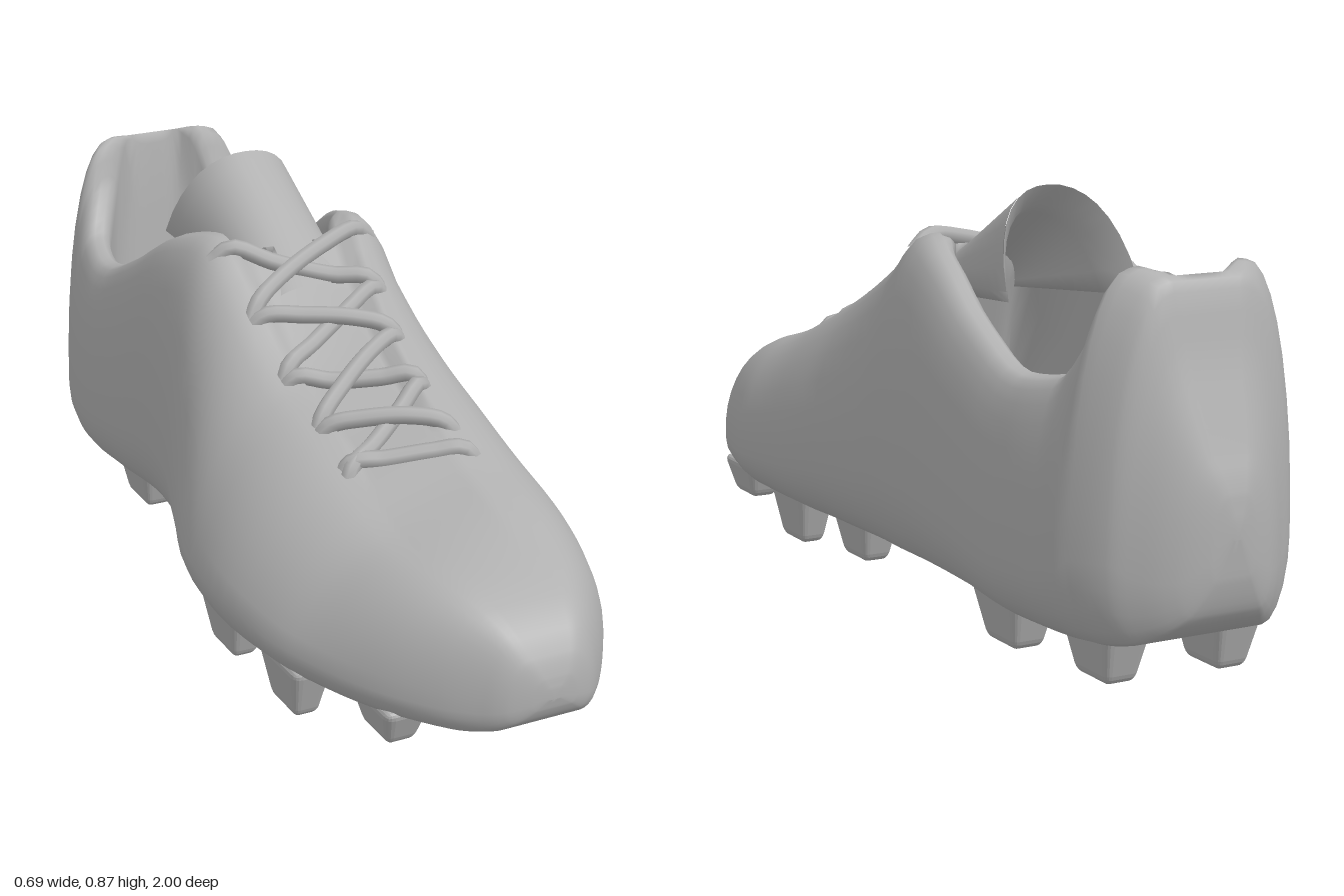
import * as THREE from 'three';
import { RoundedBoxGeometry } from 'three/addons/geometries/RoundedBoxGeometry.js';

// Stations from toe to heel: z, +x edge, -x edge, sole y, top y, half width of throat or collar
const STATIONS = [
  [1.0, 0.06, 0.03, 0.19, 0.21, 0.008],
  [0.995, 0.1, -0.005, 0.168, 0.235, 0.025],
  [0.98, 0.138, -0.05, 0.143, 0.272, 0.045],
  [0.95, 0.17, -0.09, 0.122, 0.312, 0.06],
  [0.9, 0.212, -0.145, 0.112, 0.345, 0.075],
  [0.8, 0.275, -0.225, 0.108, 0.385, 0.1],
  [0.68, 0.313, -0.285, 0.105, 0.425, 0.115],
  [0.55, 0.338, -0.325, 0.1, 0.46, 0.11],
  [0.35, 0.338, -0.348, 0.095, 0.54, 0.105],
  [0.2, 0.328, -0.338, 0.095, 0.605, 0.115],
  [0.0, 0.325, -0.28, 0.1, 0.695, 0.14],
  [-0.12, 0.335, -0.25, 0.105, 0.755, 0.16],
  [-0.25, 0.341, -0.24, 0.11, 0.72, 0.195],
  [-0.42, 0.34, -0.25, 0.105, 0.62, 0.215],
  [-0.6, 0.336, -0.245, 0.09, 0.55, 0.22],
  [-0.72, 0.325, -0.225, 0.09, 0.565, 0.2],
  [-0.79, 0.313, -0.2, 0.09, 0.66, 0.16],
  [-0.825, 0.3, -0.18, 0.09, 0.77, 0.125],
  [-0.89, 0.265, -0.13, 0.1, 0.75, 0.08],
  [-0.925, 0.228, -0.09, 0.115, 0.61, 0.06],
  [-0.97, 0.17, -0.04, 0.155, 0.46, 0.04],
  [-0.993, 0.115, 0.01, 0.22, 0.385, 0.02],
  [-1.0, 0.07, 0.05, 0.3, 0.33, 0.005],
];
const { clamp, lerp, smoothstep } = THREE.MathUtils;

// Smooth interpolation of one station column without overshoot
function column(z, c) {
  const S = STATIONS, last = S.length - 1;
  let i = 0;
  while (i < last - 1 && z < S[i + 1][0]) i++;
  const secant = k => (S[k + 1][c] - S[k][c]) / (S[k + 1][0] - S[k][0]);
  const slope = k => {
    if (k === 0) return secant(0);
    if (k === last) return secant(last - 1);
    const a = secant(k - 1), b = secant(k);
    return a * b <= 0 ? 0 : (2 * a * b) / (a + b);
  };
  const h = S[i + 1][0] - S[i][0], t = (z - S[i][0]) / h, t2 = t * t, t3 = t2 * t;
  return (2 * t3 - 3 * t2 + 1) * S[i][c] + (t3 - 2 * t2 + t) * h * slope(i)
    + (3 * t2 - 2 * t3) * S[i + 1][c] + (t3 - t2) * h * slope(i + 1);
}

function sample(z) {
  const [xr, xl, yb, yt, rw] = [1, 2, 3, 4, 5].map(c => column(z, c));
  const cx = (xr + xl) / 2;
  return { cx, w: (xr - xl) / 2, yb, yt, rw, rc: cx * 0.5 + 0.025 };
}

// The forefoot drops from a ridge over the big toe towards the outer side
const forefoot = z => smoothstep(z, -0.05, 0.25) * (1 - smoothstep(z, 0.6, 0.9));
const tilt = (x, z) => 0.3 * forefoot(z) * Math.max(0, 0.1 - x);

// Skin closed rings, ordered from front to back and anticlockwise seen from the front
function loft(rings, capped) {
  const n = rings[0].length, pos = rings.flat(2), idx = [];
  for (let i = 0; i < rings.length - 1; i++) {
    for (let j = 0; j < n; j++) {
      const a = i * n + j, b = i * n + (j + 1) % n;
      idx.push(a, a + n, b, b, a + n, b + n);
    }
  }
  if (capped) {
    const end = (rings.length - 1) * n;
    for (let j = 1; j < n - 1; j++) {
      idx.push(0, j, j + 1);
      idx.push(end, end + j + 1, end + j);
    }
  }
  const g = new THREE.BufferGeometry();
  g.setAttribute('position', new THREE.Float32BufferAttribute(pos, 3));
  g.setIndex(idx);
  g.computeVertexNormals();
  return g;
}

// One cross-section: sole, side wall, rim, then lining (open) or throat (closed)
function bootRing(z) {
  const { cx, w, yb, yt, rw, rc } = sample(z);
  const ym = yb + (yt - yb) * 0.24;
  const open = clamp((-0.1 - z) / 0.1, 0, 1) * clamp((z + 0.86) / 0.05, 0, 1);
  const sunk = z > -0.15 ? (smoothstep(z, 0.35, 0.48) - 1) * 0.022 : 0;
  // The lining reaches forward under the throat
  const reach = 0.32 * open * smoothstep(z, -0.55, -0.2);
  const floor = 0.2, inner = Math.max(rw - 0.04, 0.005);
  const lining = [
    [rw - 0.02, yt + 0.004], [rw - 0.034, yt - 0.008], [inner, yt - 0.035],
    [inner + 0.01, lerp(yt, floor, 0.4)], [inner + 0.015, lerp(yt, floor, 0.75)],
    [inner, floor + 0.03], [inner * 0.7, floor], [0, floor],
  ];
  const side = s => {
    const half = [[0, yb, 0, 0], [0.4 * w, yb, 0, 0]];
    for (let k = 0; k <= 5; k++) {
      const a = k / 5 * Math.PI / 2;
      half.push([w * (0.72 + 0.28 * Math.sin(a)), ym - (ym - yb) * Math.cos(a), 0, 0]);
    }
    const slant = s < 0 ? 0.25 * forefoot(z) : 0;
    for (let k = 1; k <= 9; k++) {
      const a = k / 9 * Math.PI / 2;
      const f = lerp(Math.cos(a), 1 - Math.sin(a), slant);
      half.push([rw + (w - rw) * f, ym + (yt - ym) * Math.sin(a), k / 9, 0]);
    }
    lining.forEach(([x, y], k) => {
      const f = (k + 1) / lining.length;
      const forward = reach * clamp((k - 2) / 2, 0, 1);
      half.push([lerp(rw * (1 - f), x, open), lerp(yt + (f > 0.2 ? sunk : 0), y, open), 1, forward]);
    });
    return half.map(([x, y, t, forward]) => {
      const px = lerp(cx, rc, t) + s * x;
      return [px, y - t * tilt(px, z), z + forward];
    });
  };
  return [...side(1), ...side(-1).slice(1, -1).reverse()];
}

function bootGeometry() {
  const rings = [];
  for (let i = 0; i < STATIONS.length - 1; i++) {
    for (let k = 0; k < 4; k++) {
      rings.push(bootRing(lerp(STATIONS[i][0], STATIONS[i + 1][0], k / 4)));
    }
  }
  rings.push(bootRing(-1));
  return loft(rings, true);
}

// Arched tongue whose sides sweep back and down, open underneath
function tongueGeometry() {
  const rings = [], N = 16;
  for (let i = 0; i <= 10; i++) {
    const t = i / 10, thick = i === 10 ? 0.001 : 0.025;
    const hw = lerp(0.1, 0.15, t), drop = lerp(0.03, 0.19, t);
    const arc = inset => Array.from({ length: N + 1 }, (_, j) => {
      const a = 1 - 2 * j / N;
      return [
        0.05 + (hw - inset) * Math.sin(a * 1.4) / Math.sin(1.4),
        lerp(0.67, 0.865, t) - inset - drop * Math.abs(a) ** 2.2,
        lerp(0.02, -0.32, t) - 0.1 * t * a * a,
      ];
    });
    rings.push([...arc(0), ...arc(thick).reverse()]);
  }
  return loft(rings, false);
}

// Lace strand over the throat between two points on opposite sides
function laceGeometry(z0, z1, side, lift) {
  const pts = [-1.2, -0.95, -0.4, 0.4, 0.95, 1.2].map(f => {
    const z = lerp(z0, z1, (f + 1.2) / 2.4);
    const { yt, rw, rc } = sample(z);
    const x = rc + side * f * rw;
    const up = Math.abs(f) > 1 ? -0.035 : Math.abs(f) > 0.5 ? 0.003 : lift;
    return new THREE.Vector3(x, yt + up - tilt(x, z), z);
  });
  return new THREE.TubeGeometry(new THREE.CatmullRomCurve3(pts), 20, 0.018, 8);
}

// Block stud that narrows towards the ground
function studGeometry(width, height, length) {
  const g = new RoundedBoxGeometry(width, height, length, 2, 0.018);
  const p = g.attributes.position;
  for (let i = 0; i < p.count; i++) {
    const s = lerp(0.65, 1.12, p.getY(i) / height + 0.5);
    p.setX(i, p.getX(i) * s);
    p.setZ(i, p.getZ(i) * s);
  }
  g.computeVertexNormals();
  return g;
}

export function createModel() {
  const boot = new THREE.Group();
  boot.name = 'footballBoot';
  const grey = new THREE.MeshStandardMaterial({ color: 0xb0b0b0 });
  grey.name = 'grey';
  const add = (name, geometry, parent = boot) => {
    const mesh = new THREE.Mesh(geometry, grey);
    mesh.name = name;
    parent.add(mesh);
    return mesh;
  };
  add('upperAndSole', bootGeometry());
  add('tongue', tongueGeometry());

  // Laces: a bar at the bottom with crossed pairs above it
  const laces = new THREE.Group();
  laces.name = 'laces';
  boot.add(laces);
  const rows = [0.45, 0.32, 0.19, 0.06, -0.09];
  add('lowerLaceBar', laceGeometry(0.42, 0.52, 1, 0), laces);
  for (let i = 0; i < rows.length - 1; i++) {
    add('laceOver', laceGeometry(rows[i], rows[i + 1], i % 2 ? 1 : -1, 0.014), laces);
    add('laceUnder', laceGeometry(rows[i], rows[i + 1], i % 2 ? -1 : 1, -0.008), laces);
  }

  // Studs: x, z, ground-side y, width, length
  const studs = new THREE.Group();
  studs.name = 'studs';
  boot.add(studs);
  const layout = [
    [0.225, 0.74, 0.045, 0.09, 0.15], [-0.16, 0.75, 0.045, 0.09, 0.15],
    [-0.25, 0.53, 0.012, 0.08, 0.16], [-0.255, 0.26, 0.01, 0.08, 0.16],
    [-0.19, 0.03, 0.01, 0.09, 0.13],
    [0.25, 0.42, 0.01, 0.08, 0.16], [0.2, 0.2, 0.012, 0.09, 0.16],
    [0.025, 0.61, 0.04, 0.15, 0.12], [0.015, 0.4, 0.025, 0.14, 0.12],
    [0.22, -0.49, 0.004, 0.1, 0.17], [-0.12, -0.49, 0.004, 0.1, 0.17],
    [0.175, -0.75, 0, 0.1, 0.17], [-0.055, -0.77, 0, 0.1, 0.17],
  ];
  for (const [x, z, y, width, length] of layout) {
    const height = 0.13 - y;
    add('stud', studGeometry(width, height, length), studs).position.set(x, y + height / 2, z);
  }
  return boot;
}
